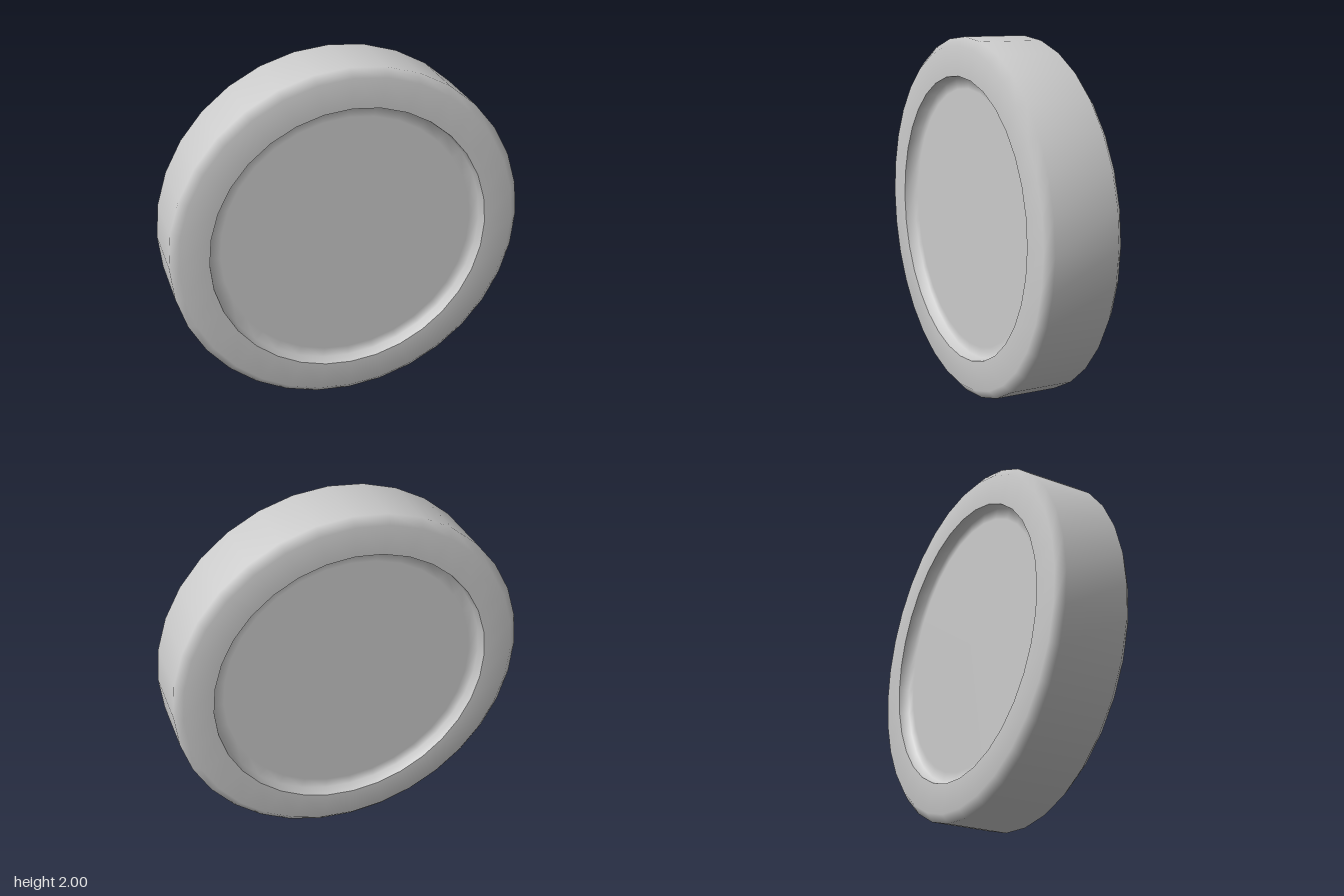
import * as THREE from 'three';

export function createModel() {
  const model = new THREE.Group();
  model.name = 'coin';
  const material = new THREE.MeshStandardMaterial({ color: 0xcccccc });

  // Front half of the profile as [radius, depth], from the outer wall to the recess centre.
  // The doubled point keeps the rim's inner edge sharp.
  const half = [
    [1, 0.18], [0.955, 0.22], [0.79, 0.22], [0.79, 0.22],
    [0.78, 0.16], [0.72, 0.16], [0, 0.16],
  ];
  const back = half.map(([r, d]) => new THREE.Vector2(r, -d)).reverse();
  const front = half.map(([r, d]) => new THREE.Vector2(r, d));

  // Chamfered rim and shallow recessed faces in one turned body, standing on its edge
  const geometry = new THREE.LatheGeometry([...back, ...front], 32);
  geometry.rotateX(Math.PI / 2);
  const body = new THREE.Mesh(geometry, material);
  body.name = 'recessedDisc';
  body.position.y = 1;
  model.add(body);

  return model;
}
